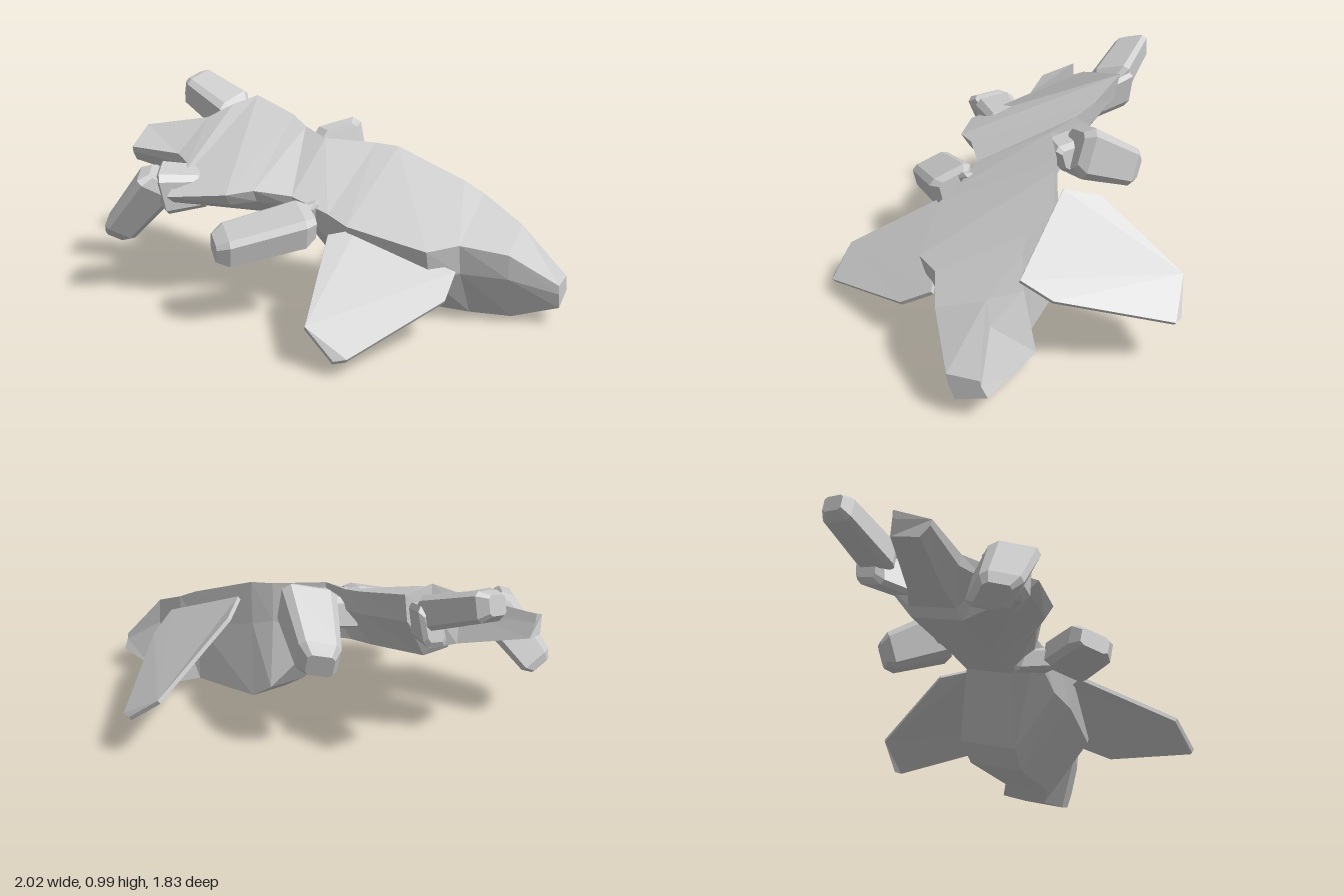
import * as THREE from 'three';

const grey = new THREE.MeshStandardMaterial({ color: 0xcccccc, flatShading: true });
const V = (p) => new THREE.Vector3(...p);

// Closed faceted skin through rings of equal point count, capped at both ends
function loft(name, rings) {
  const tris = [];
  const n = rings[0].length;
  for (let i = 0; i < rings.length - 1; i++) {
    for (let j = 0; j < n; j++) {
      const k = (j + 1) % n;
      const a = rings[i][j], b = rings[i][k], c = rings[i + 1][k], d = rings[i + 1][j];
      tris.push([a, b, c], [a, c, d]);
    }
  }
  const first = rings[0], last = rings[rings.length - 1];
  for (let j = 1; j < n - 1; j++) {
    tris.push([first[0], first[j + 1], first[j]], [last[0], last[j], last[j + 1]]);
  }
  // Turn the skin outward when its signed volume is negative
  let volume = 0;
  for (const t of tris) {
    const [a, b, c] = t.map((p) => p.clone().sub(first[0]));
    volume += a.dot(b.cross(c));
  }
  if (volume < 0) tris.forEach((t) => t.reverse());
  const geometry = new THREE.BufferGeometry().setFromPoints(tris.flat());
  geometry.computeVertexNormals();
  const mesh = new THREE.Mesh(geometry, grey);
  mesh.name = name;
  return mesh;
}

// Blunt block from one point to another, chamfered along its length and at both ends
function limb(name, from, to, halfWidth, halfDepth, endScale) {
  const steps = [[0, 0.7], [0.12, 1], [0.88, endScale], [1, endScale * 0.65]];
  return loft(name, steps.map(([t, size]) => {
    const ring = [];
    for (let i = 0; i < 8; i++) {
      const angle = (Math.floor((i + 1) / 2) * Math.PI) / 2 + (i % 2 ? -0.62 : 0.62);
      ring.push(V(from).lerp(V(to), t)
        .addScaledVector(V(halfWidth), 1.2 * size * Math.cos(angle))
        .addScaledVector(V(halfDepth), 1.2 * size * Math.sin(angle)));
    }
    return ring;
  }));
}

// Thin plate with a flat outline thickened along its own normal
function plate(name, outline, thickness) {
  const pts = outline.map(V);
  const normal = new THREE.Vector3();
  pts.forEach((p, i) => normal.add(p.clone().cross(pts[(i + 1) % pts.length])));
  normal.setLength(thickness / 2);
  return loft(name, [-1, 1].map((s) => pts.map((p) => p.clone().addScaledVector(normal, s))));
}

// Body station: two back edges, a rim under each, and a narrow belly below the rolled back
const down = V([0.22, -0.95, -0.22]);
const across = V([0.7, 0.3, -0.7]);
function bodyRing([edgeA, edgeB, depth, bellyHalf]) {
  const a = V(edgeA), b = V(edgeB);
  const belly = a.clone().lerp(b, 0.5).addScaledVector(down, depth);
  const bellyA = belly.clone().addScaledVector(across, -bellyHalf);
  const bellyB = belly.clone().addScaledVector(across, bellyHalf);
  const rim = (edge, low) => {
    const p = edge.clone().lerp(low, 0.14);
    p.y -= 0.22 * (edge.y - low.y);
    return p;
  };
  return [a, b, rim(b, bellyB), bellyB, bellyA, rim(a, bellyA)];
}

export function createModel() {
  const model = new THREE.Group();
  model.name = 'swimmingCreature';

  // Arched body from snout to tail: right back edge, left back edge, depth, belly half width
  const stations = [
    [[0.85, 0.20, 0.75], [0.95, 0.20, 0.65], 0.10, 0.07],
    [[0.62, 0.35, 0.70], [0.77, 0.43, 0.54], 0.35, 0.11],
    [[0.42, 0.39, 0.62], [0.68, 0.53, 0.34], 0.445, 0.12],
    [[0.26, 0.38, 0.63], [0.61, 0.58, 0.27], 0.44, 0.12],
    [[-0.03, 0.46, 0.42], [0.37, 0.71, 0.03], 0.54, 0.14],
    [[-0.08, 0.49, 0.31], [0.28, 0.72, -0.03], 0.48, 0.15],
    [[-0.20, 0.54, 0.15], [0.05, 0.74, -0.12], 0.22, 0.12],
    [[-0.37, 0.57, 0.11], [0.00, 0.77, -0.28], 0.23, 0.13],
    [[-0.50, 0.56, 0.11], [-0.03, 0.81, -0.40], 0.25, 0.13],
    [[-0.74, 0.53, -0.05], [-0.16, 0.88, -0.62], 0.25, 0.13],
    [[-0.61, 0.64, -0.22], [-0.32, 0.86, -0.50], 0.25, 0.12],
    [[-0.63, 0.66, -0.35], [-0.45, 0.80, -0.51], 0.19, 0.09],
    [[-0.83, 0.67, -0.53], [-0.73, 0.75, -0.67], 0.10, 0.07],
  ];
  model.add(loft('body', stations.map(bodyRing)));

  // Drooping front fins
  model.add(plate('rightFin', [
    [-0.33, 0.17, 0.77], [-0.25, 0.06, 0.89], [-0.20, 0.07, 0.91], [0.30, 0.19, 0.74],
    [0.40, 0.27, 0.63], [0.02, 0.43, 0.40], [-0.11, 0.42, 0.40],
  ], 0.02));
  model.add(plate('leftFin', [
    [0.85, 0.35, -0.34], [0.98, 0.23, -0.25], [1.00, 0.23, -0.21], [0.82, 0.37, 0.27],
    [0.72, 0.44, 0.37], [0.43, 0.64, 0.02], [0.50, 0.61, -0.13],
  ], 0.02));

  // Middle paddles, each on a short shoulder
  model.add(limb('rightMiddlePaddle', [-0.15, 0.46, 0.29], [-0.59, 0.37, 0.26],
    [0, -0.035, 0.11], [0, 0.07, 0.015], 0.9));
  model.add(limb('rightShoulder', [-0.19, 0.46, 0.26], [-0.10, 0.46, 0.06],
    [0.08, 0.02, 0], [0, 0.06, 0.02], 1));
  model.add(limb('leftMiddlePaddle', [0.16, 0.69, -0.18], [0.17, 0.53, -0.51],
    [0.125, 0.03, 0.01], [-0.01, 0.12, -0.04], 0.75));
  model.add(limb('leftShoulder', [0.18, 0.65, -0.17], [-0.06, 0.64, -0.21],
    [0, 0.07, 0.02], [0.02, 0, 0.08], 1));

  // Rear paddles, one hanging and one raised, each on a short shoulder
  model.add(limb('rightRearPaddle', [-0.73, 0.60, -0.18], [-0.95, 0.30, -0.32],
    [0.03, 0.02, -0.105], [-0.09, 0.055, 0.02], 0.8));
  model.add(limb('rightRearShoulder', [-0.75, 0.54, -0.19], [-0.52, 0.54, -0.16],
    [0.03, 0.02, -0.10], [-0.02, 0.10, 0], 0.8));
  model.add(limb('leftRearPaddle', [-0.27, 0.78, -0.61], [-0.45, 0.92, -0.88],
    [0.09, 0.03, -0.06], [0.01, 0.08, 0.01], 0.85));
  model.add(limb('leftRearShoulder', [-0.27, 0.75, -0.69], [-0.26, 0.70, -0.49],
    [0.07, 0.03, -0.05], [0.02, 0.10, 0], 0.9));

  return model;
}
